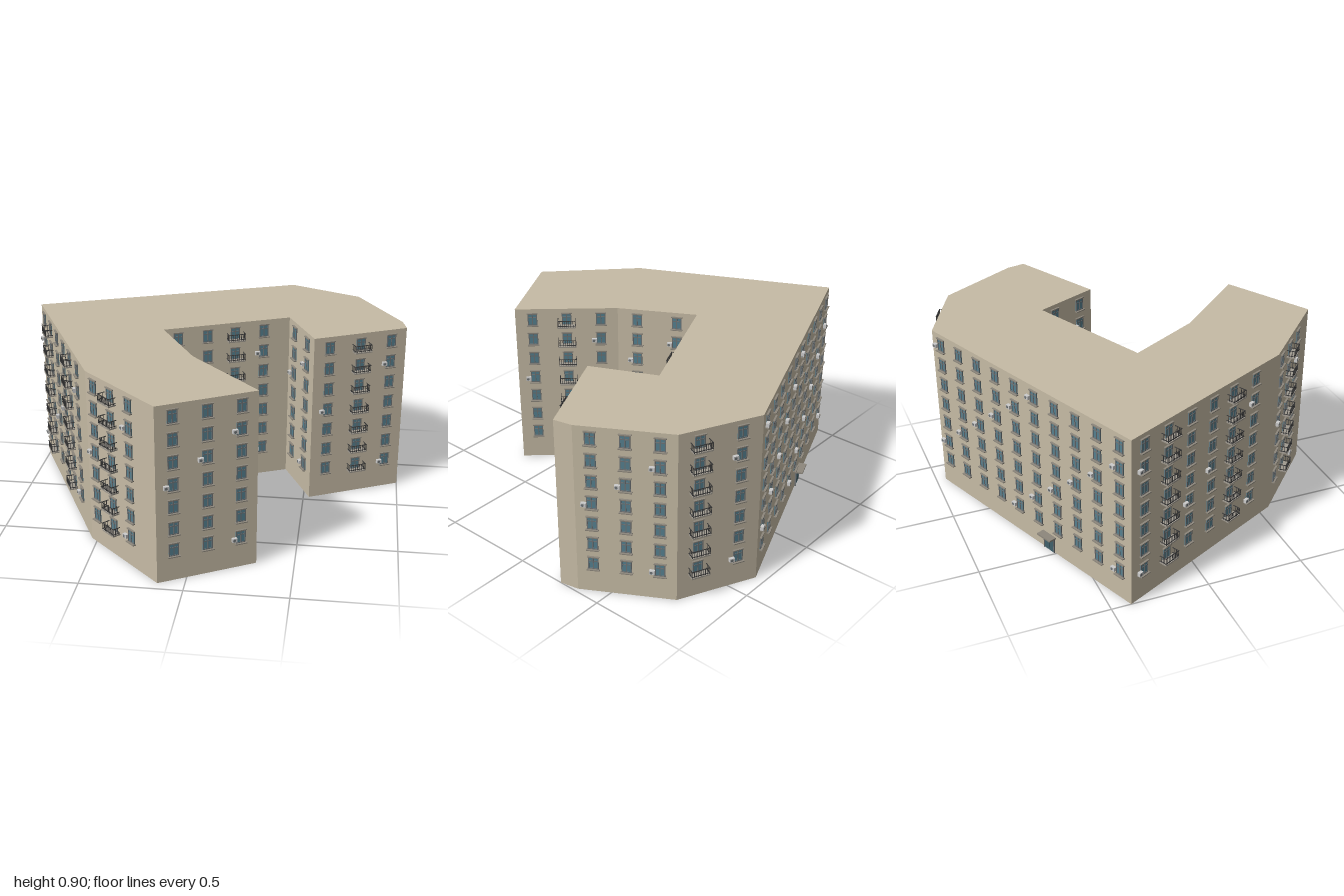
import * as THREE from 'three';
import { mergeGeometries } from 'three/addons/utils/BufferGeometryUtils.js';

const HEIGHT = 0.905, FLOORS = 7, FLOOR_STEP = 0.1135, FIRST_ROW = 0.165;

const even = n => Array.from({ length: n }, (_, i) => (i + 0.5) / n);

// Each wall starts at a corner [x, z] and runs to the next one, left to right seen from outside.
// cols: window positions along the wall (0..1); balconies: indices of columns with balconies.
const WALLS = [
  { name: 'frontLeftWingEnd', at: [-0.13, 0.95], cols: even(3), balconies: [] },
  { name: 'courtyardOuter', at: [0.315, 0.70], cols: even(3), balconies: [1] },
  { name: 'courtyardInner', at: [-0.05, 0.30], cols: even(2), balconies: [] },
  { name: 'courtyardBack', at: [-0.257, -0.07], cols: [0.11, 0.34, 0.56, 0.79], balconies: [2] },
  { name: 'courtyardSide', at: [0.38, -0.355], cols: even(2), balconies: [] },
  { name: 'shortWingEnd', at: [0.53, -0.03], cols: even(3), balconies: [1] },
  { name: 'narrowCorner', at: [1.0, -0.265], cols: [], balconies: [] },
  { name: 'shortWingSide', at: [0.98, -0.36], cols: even(3), balconies: [] },
  { name: 'backCorner', at: [0.74, -0.77], cols: even(2), balconies: [0] },
  { name: 'back', at: [0.36, -0.95], cols: even(10), balconies: [], door: 0.6 },
  { name: 'longSide', at: [-1.0, -0.4], cols: [0.08, 0.23, 0.38, 0.53, 0.67, 0.83], balconies: [1, 4] },
  { name: 'angledSide', at: [-0.53, 0.565], cols: [0.12, 0.375, 0.64], balconies: [1] },
];

const MATERIALS = {
  Walls: new THREE.MeshStandardMaterial({ color: 0xc6bba5 }),
  WindowFrames: new THREE.MeshStandardMaterial({ color: 0x6f7476 }),
  WindowGlass: new THREE.MeshStandardMaterial({ color: 0x55808f }),
  WindowSills: new THREE.MeshStandardMaterial({ color: 0x8d877c }),
  BalconySlabs: new THREE.MeshStandardMaterial({ color: 0xa09a90 }),
  BalconyRailings: new THREE.MeshStandardMaterial({ color: 0x3a3a3a }),
  AirConditioners: new THREE.MeshStandardMaterial({ color: 0xcccccc }),
  Door: new THREE.MeshStandardMaterial({ color: 0x40606a }),
  DoorCanopy: new THREE.MeshStandardMaterial({ color: 0x8d877c }),
};

// Collects boxes in wall space: x along the wall, y up, z outward.
class WallParts {
  constructor() { this.lists = {}; }
  box(part, w, h, d, x, y, z) {
    (this.lists[part] ??= []).push(new THREE.BoxGeometry(w, h, d).translate(x, y, z));
  }
  build(prefix) {
    const group = new THREE.Group();
    group.name = prefix + 'Wall';
    for (const [part, list] of Object.entries(this.lists)) {
      const mesh = new THREE.Mesh(mergeGeometries(list), MATERIALS[part]);
      mesh.name = prefix + part;
      group.add(mesh);
    }
    return group;
  }
}

function addWindow(parts, x, y) {
  const w = 0.05, h = 0.066, bar = 0.005;
  parts.box('WindowGlass', w, h, 0.004, x, y, 0.001);
  // outer frame, central mullion and transom
  for (const s of [-1, 0, 1]) parts.box('WindowFrames', bar, h, 0.008, x + s * (w - bar) / 2, y, 0.002);
  for (const yy of [-(h - bar) / 2, 0.012, (h - bar) / 2]) {
    parts.box('WindowFrames', w, bar, 0.007, x, y + yy, 0.002);
  }
  // sill and lintel
  parts.box('WindowSills', w + 0.012, 0.005, 0.018, x, y - h / 2 - 0.002, 0.007);
  parts.box('WindowSills', w + 0.008, 0.005, 0.012, x, y + h / 2 + 0.002, 0.004);
}

function addBalcony(parts, x, y) {
  const w = 0.094, d = 0.042, rail = 0.038, t = 0.003, base = y - 0.034;
  parts.box('BalconySlabs', w, 0.007, d, x, base, d / 2);
  // top and bottom rails on three sides
  for (const yy of [base + 0.009, base + rail]) {
    parts.box('BalconyRailings', w, t, t, x, yy, d - t);
    for (const s of [-1, 1]) parts.box('BalconyRailings', t, t, d, x + s * (w - t) / 2, yy, d / 2);
  }
  // upright bars
  for (let i = 0; i <= 8; i++) {
    parts.box('BalconyRailings', t * 0.8, rail, t * 0.8, x + (i / 8 - 0.5) * (w - t), base + rail / 2, d - t);
  }
  for (const s of [-1, 1]) for (const z of [0.012, 0.026]) {
    parts.box('BalconyRailings', t * 0.8, rail, t * 0.8, x + s * (w - t) / 2, base + rail / 2, z);
  }
}

function addAirConditioner(parts, x, y) {
  parts.box('AirConditioners', 0.026, 0.02, 0.016, x - 0.036, y - 0.008, 0.012);
  // fan ring
  const fan = new THREE.CylinderGeometry(0.007, 0.007, 0.002, 12).rotateX(Math.PI / 2);
  (parts.lists.WindowFrames ??= []).push(fan.translate(x - 0.039, y - 0.008, 0.0205));
}

function addDoor(parts, x) {
  // two leaves in a frame, under a flat canopy
  for (const s of [-1, 1]) parts.box('Door', 0.032, 0.078, 0.006, x + s * 0.017, 0.04, 0.002);
  for (const s of [-1, 1]) parts.box('WindowFrames', 0.005, 0.082, 0.01, x + s * 0.036, 0.041, 0.003);
  parts.box('WindowFrames', 0.077, 0.005, 0.01, x, 0.082, 0.003);
  parts.box('DoorCanopy', 0.096, 0.008, 0.042, x, 0.092, 0.021);
}

export function createModel() {
  const model = new THREE.Group();
  model.name = 'apartmentBlock';

  // solid body extruded from the floor plan
  const plan = new THREE.Shape(WALLS.map(({ at }) => new THREE.Vector2(at[0], -at[1])));
  const bodyGeometry = new THREE.ExtrudeGeometry(plan, { depth: HEIGHT, bevelEnabled: false });
  const body = new THREE.Mesh(bodyGeometry.rotateX(-Math.PI / 2), MATERIALS.Walls);
  body.name = 'buildingBody';
  model.add(body);

  // windows, balconies, cooling units and the door on each wall
  WALLS.forEach((wall, i) => {
    if (!wall.cols.length) return;
    const next = WALLS[(i + 1) % WALLS.length].at;
    const dx = next[0] - wall.at[0], dz = next[1] - wall.at[1];
    const length = Math.hypot(dx, dz);
    const parts = new WallParts();
    wall.cols.forEach((t, c) => {
      for (let floor = 0; floor < FLOORS; floor++) {
        const x = t * length, y = FIRST_ROW + floor * FLOOR_STEP;
        addWindow(parts, x, y);
        if (wall.balconies.includes(c)) addBalcony(parts, x, y);
        else if ((floor + wall.cols.length - 1 - c) % 5 === 0) addAirConditioner(parts, x, y);
      }
    });
    if (wall.door) addDoor(parts, wall.door * length);
    const group = parts.build(wall.name);
    group.position.set(wall.at[0], 0, wall.at[1]);
    group.rotation.y = Math.atan2(-dz, dx);
    model.add(group);
  });
  return model;
}
